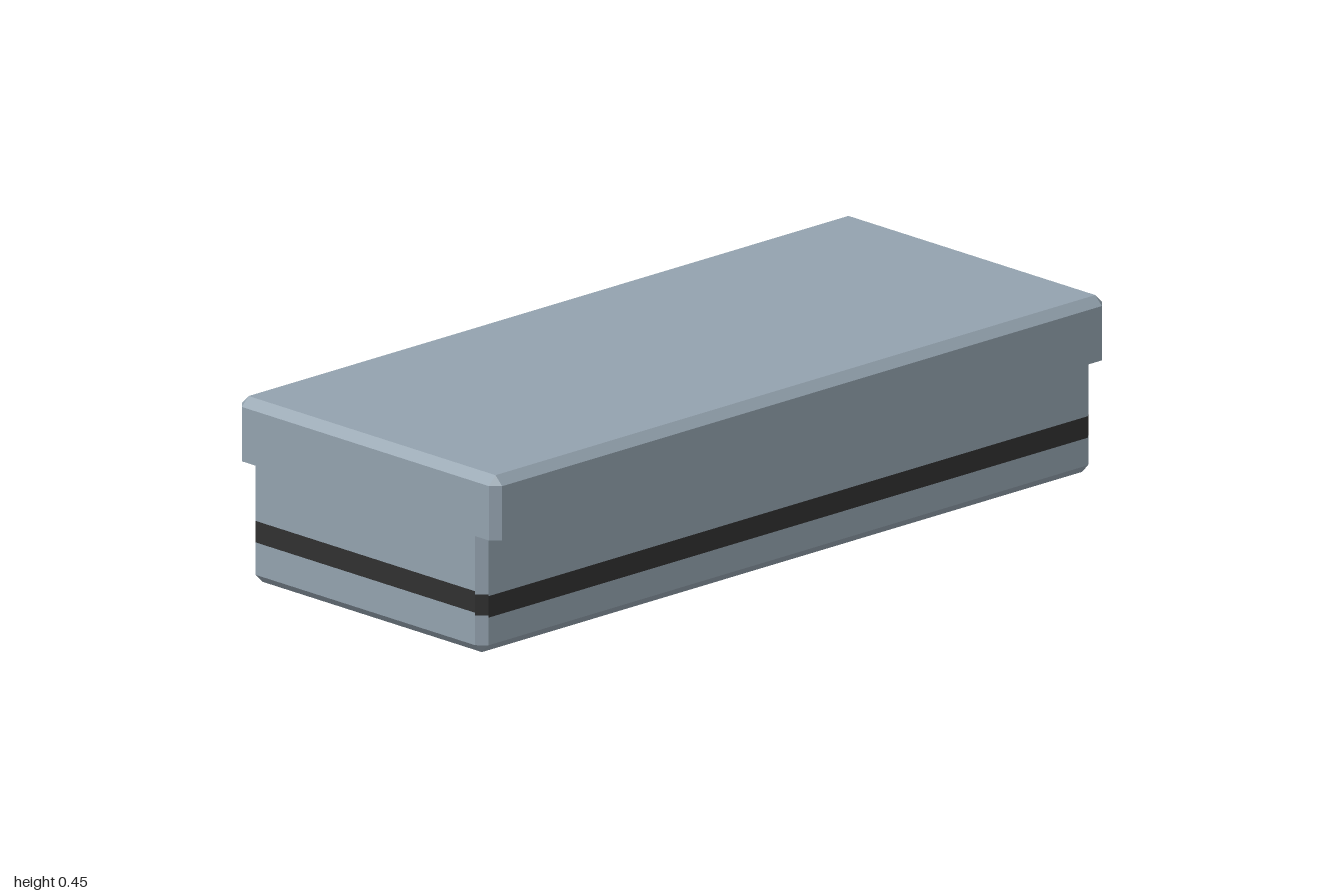
import * as THREE from 'three';

const C = 0.022; // chamfer size

// Eight-sided outline, counter-clockwise from above; inset shrinks it to its chamfered edge
function ring(halfW, halfD, y, inset = false) {
  const ix = halfW - C, iz = halfD - C;
  const w = inset ? ix : halfW, d = inset ? iz : halfD;
  return [[-ix, d], [ix, d], [w, iz], [w, -iz], [ix, -d], [-ix, -d], [-w, -iz], [-w, iz]]
    .map(([x, z], k) => new THREE.Vector3(x, Array.isArray(y) ? y[k] : y, z));
}

function toGeometry(points) {
  const geometry = new THREE.BufferGeometry().setFromPoints(points);
  geometry.computeVertexNormals();
  return geometry;
}

// Side walls between two rings; the height of each wall follows its first corner
function wall(low, high) {
  const out = [];
  for (let k = 0; k < 8; k++) {
    const n = (k + 1) % 8;
    const a = low[k], d = high[k];
    const b = low[n].clone(), c = high[n].clone();
    b.y = a.y;
    c.y = d.y;
    out.push(a, b, c, a, c, d);
  }
  return out;
}

function cap(r, up) {
  const out = [];
  for (let k = 1; k < 7; k++) out.push(r[0], ...(up ? [r[k], r[k + 1]] : [r[k + 1], r[k]]));
  return out;
}

export function createModel() {
  const group = new THREE.Group();
  const shell = new THREE.MeshStandardMaterial({ color: 0x93a2ae });
  shell.name = 'blueGreyShell';
  const dark = new THREE.MeshStandardMaterial({ color: 0x303030 });
  dark.name = 'darkStripe';

  const add = (name, points, material) => {
    const mesh = new THREE.Mesh(toGeometry(points), material);
    mesh.name = name;
    group.add(mesh);
  };

  // Stripe edges per wall: it sits slightly higher on the front
  const lowY = [0.102, 0.095, 0.09, 0.093, 0.092, 0.093, 0.09, 0.095];
  const highY = [0.155, 0.147, 0.143, 0.145, 0.145, 0.145, 0.143, 0.147];

  // Lower body with chamfered bottom edge
  const W = 0.392, D = 1;
  const base = ring(W, D, 0, true), foot = ring(W, D, C);
  const low = ring(W, D, lowY), high = ring(W, D, highY), neck = ring(W, D, 0.291);
  add('lowerBody', [...cap(base, false), ...wall(base, foot), ...wall(foot, low)], shell);
  add('stripe', wall(low, high), dark);
  add('upperBody', wall(high, neck), shell);

  // Wider lid with chamfered top edge
  const L = 0.438, H = 0.447;
  const rim = ring(L, D, 0.291), shoulder = ring(L, D, H - C), top = ring(L, D, H, true);
  add('lid', [...cap(rim, false), ...wall(rim, shoulder), ...cap(top, true)], shell);
  add('lidChamfer', wall(shoulder, top), shell);

  return group;
}
